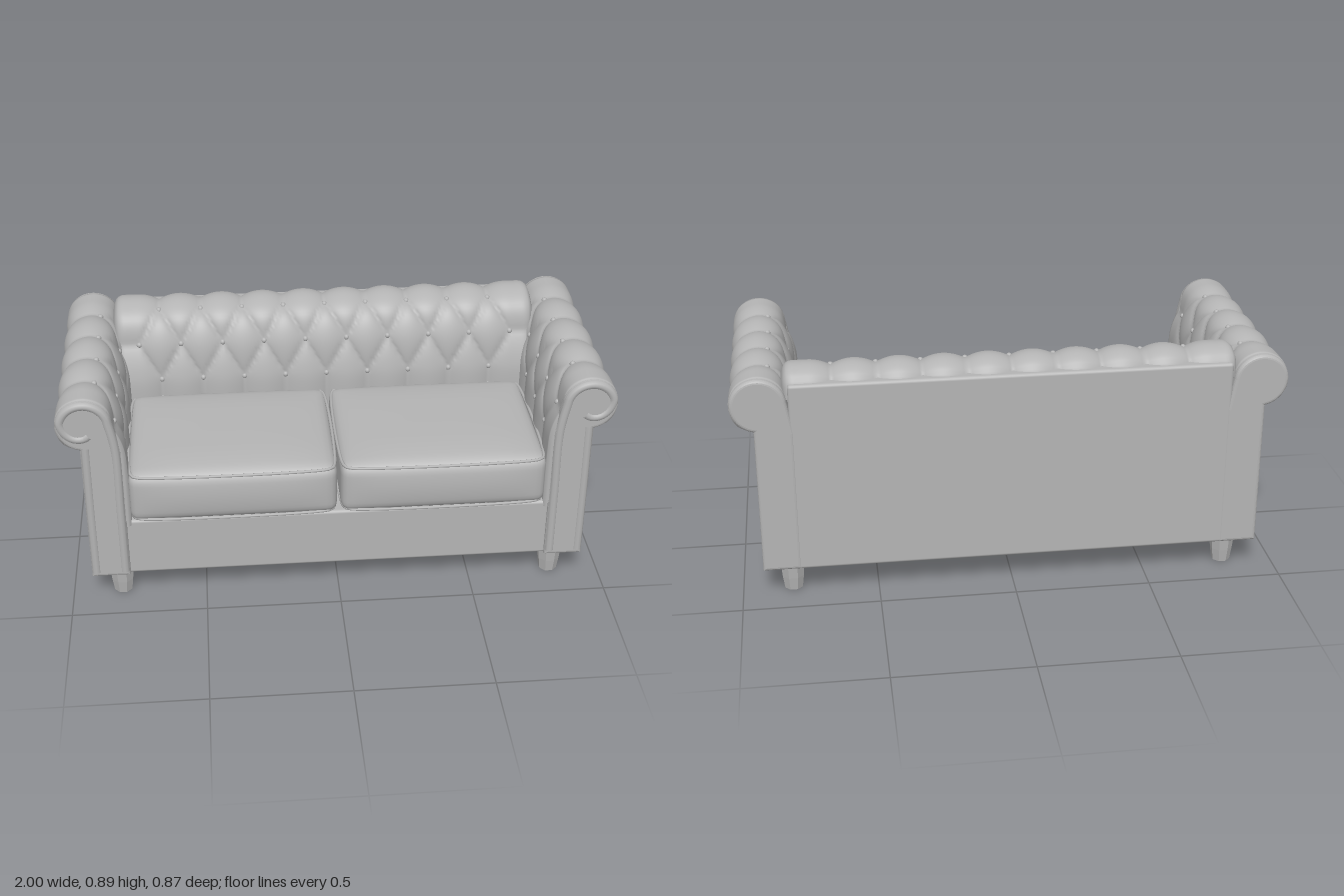
import * as THREE from 'three';
import { mergeVertices } from 'three/addons/utils/BufferGeometryUtils.js';
import { RoundedBoxGeometry } from 'three/addons/geometries/RoundedBoxGeometry.js';

const leather = new THREE.MeshStandardMaterial({ color: 0xb4b4b4 });
leather.name = 'greyLeather';

function part(name, geometry, parent, x = 0, y = 0, z = 0) {
  const mesh = new THREE.Mesh(geometry, leather);
  mesh.name = name;
  mesh.position.set(x, y, z);
  parent.add(mesh);
  return mesh;
}

// Buttoned upholstery: a profile swept along z, puffed between diamond pleats
function tufted(name, o) {
  const group = new THREE.Group();
  group.name = name;
  const curve = new THREE.SplineCurve(o.profile.map(p => new THREE.Vector2(...p)));
  curve.arcLengthDivisions = 600;
  const length = curve.getLength();
  const NS = 64;
  const clamp = THREE.MathUtils.clamp;

  const puff = (s, w) => {
    const v = clamp((s - o.row0) / o.rowGap, 0, 2);
    const a = clamp(w / o.pitch, -o.limit, o.limit) - o.offset;
    const p = Math.sin(Math.PI * (a + v / 2)), q = Math.sin(Math.PI * (a - v / 2));
    return o.height * Math.pow(Math.abs(p * q), 0.4);
  };
  const surface = (s, w) => {
    const t = clamp(s / length, 0, 1);
    const p = curve.getPointAt(t), g = curve.getTangentAt(t);
    const e = clamp((Math.abs(w) - (o.half - o.round)) / o.round, 0, 1);
    const d = puff(s, w) - o.round * (1 - Math.sqrt(1 - e * e));
    return [p.x - g.y * d, p.y + g.x * d, w];
  };

  // Rings along z, with a collapsed ring closing each end
  const pos = [], idx = [];
  const centre = o.centre;
  for (let j = -1; j <= o.steps + 1; j++) {
    const w = o.half * (clamp(j, 0, o.steps) / o.steps * 2 - 1);
    const cap = j < 0 || j > o.steps;
    for (let i = 0; i <= NS; i++) {
      pos.push(...(cap ? [centre[0], centre[1], w] : surface(length * i / NS, w)));
    }
  }
  const R = NS + 1;
  for (let j = 0; j < o.steps + 2; j++) {
    for (let i = 0; i < NS; i++) {
      const A = j * R + i, B = A + R;
      idx.push(A, B, A + 1, B, B + 1, A + 1);
    }
  }
  const geo = new THREE.BufferGeometry();
  geo.setAttribute('position', new THREE.Float32BufferAttribute(pos, 3));
  geo.setIndex(idx);
  geo.computeVertexNormals();
  part('tuftedCover', geo, group);

  // Buttons where the pleats cross
  const ball = new THREE.SphereGeometry(0.011, 10, 8);
  for (let row = 0; row < 3; row++) {
    for (let k = -6; k <= 6; k++) {
      const w = (k + o.offset + (row % 2) / 2) * o.pitch;
      if (Math.abs(w) > o.half - 0.05) continue;
      part('button', ball, group, ...surface(o.row0 + row * o.rowGap, w));
    }
  }
  return group;
}

// Side outline of an arm: upright post topped by a round scroll
function armOutline(inner, radius) {
  const s = new THREE.Shape();
  s.moveTo(0.92, 0.115);
  s.lineTo(inner, 0.115);
  s.lineTo(inner, 0.66);
  s.absarc(0.9, 0.767, radius, Math.PI * 0.97, -1.37, true);
  s.lineTo(0.92, 0.66);
  return s;
}

function slab(shape, z0, z1, bevel) {
  const g = new THREE.ExtrudeGeometry(shape, {
    depth: z1 - z0 - 2 * bevel, curveSegments: 28, bevelEnabled: true,
    bevelSize: bevel, bevelThickness: bevel, bevelOffset: -bevel, bevelSegments: 4,
  });
  return g.translate(0, 0, z0 + bevel);
}

function makeArm(name) {
  const arm = new THREE.Group();
  arm.name = name;
  part('armCore', slab(armOutline(0.79, 0.084), -0.42, 0.42, 0.005), arm);
  part('armFrontPanel', slab(armOutline(0.778, 0.1), 0.385, 0.427, 0.014), arm);
  part('armBackPanel', slab(armOutline(0.778, 0.1), -0.432, -0.39, 0.014), arm);
  arm.add(tufted('armUpholstery', {
    profile: [[0.778, 0.33], [0.778, 0.55], [0.785, 0.68], [0.812, 0.78], [0.842, 0.832], [0.9, 0.853],
      [0.96, 0.828], [0.984, 0.767], [0.965, 0.705], [0.915, 0.682]],
    centre: [0.88, 0.74], half: 0.418, round: 0.012, steps: 88,
    row0: 0.28, rowGap: 0.13, pitch: 0.17, offset: 0.5, limit: 2, height: 0.018,
  }));

  // Padded border running up the post and curling into the scroll
  const z = 0.417, path = [[0.797, 0.135], [0.797, 0.4], [0.798, 0.66]];
  for (let i = 0; i <= 16; i++) {
    const a = Math.PI * (0.97 - i * 0.1), r = i < 10 ? 0.083 : 0.083 - (i - 9) * 0.006;
    path.push([0.9 + r * Math.cos(a), 0.767 + r * Math.sin(a)]);
  }
  const tube = (pts) => new THREE.TubeGeometry(
    new THREE.CatmullRomCurve3(pts.map(p => new THREE.Vector3(p[0], p[1], z))), 90, 0.017, 10);
  part('scrollBorder', tube(path), arm);
  part('outerBorder', tube([[0.902, 0.135], [0.902, 0.4], [0.9, 0.68]]), arm);
  return arm;
}

// Seat cushion: softened box with crowned top and bulging front
function cushionGeometry(w, h, d, r) {
  let g = new THREE.BoxGeometry(w, h, d, 36, 14, 32);
  g.deleteAttribute('uv');
  g.deleteAttribute('normal');
  g = mergeVertices(g);
  const p = g.attributes.position, v = new THREE.Vector3(), c = new THREE.Vector3();
  const box = new THREE.Vector3(w / 2 - r, h / 2 - r, d / 2 - r);
  for (let i = 0; i < p.count; i++) {
    v.fromBufferAttribute(p, i);
    c.copy(v).clamp(box.clone().negate(), box);
    v.sub(c).setLength(r).add(c);
    const x = 2 * v.x / w, y = 2 * v.y / h, k = 2 * v.z / d;
    if (y > 0) v.y += 0.022 * y * (1 - x ** 4) * (1 - k ** 4);
    if (k > 0) v.z += 0.014 * k * (1 - x ** 4) * (1 - y * y);
    p.setXYZ(i, v.x, v.y, v.z);
  }
  g.computeVertexNormals();
  return g;
}

function pipingGeometry(a, b, r) {
  const pts = [];
  for (const [sx, sz, flip] of [[1, 1, 0], [-1, 1, 1], [-1, -1, 0], [1, -1, 1]]) {
    const corner = [[a, b - r], [a - r * 0.3, b - r * 0.3], [a - r, b]];
    if (flip) corner.reverse();
    corner.forEach(([x, z]) => pts.push(new THREE.Vector3(sx * x, 0, sz * z)));
  }
  return new THREE.TubeGeometry(new THREE.CatmullRomCurve3(pts, true), 120, 0.006, 6, true);
}

export function createModel() {
  const sofa = new THREE.Group();
  sofa.name = 'sofa';

  // Frame
  part('seatBase', new RoundedBoxGeometry(1.57, 0.235, 0.82, 3, 0.012), sofa, 0, 0.2325, 0);
  part('backPanel', new RoundedBoxGeometry(1.59, 0.725, 0.05, 3, 0.012), sofa, 0, 0.4775, -0.405);

  // Buttoned backrest
  const back = tufted('backUpholstery', {
    profile: [[0.165, 0.33], [0.165, 0.55], [0.175, 0.64], [0.2, 0.75], [0.235, 0.825], [0.29, 0.857],
      [0.345, 0.862], [0.39, 0.838], [0.402, 0.78]],
    centre: [0.3, 0.74], half: 0.815, round: 0.04, steps: 168,
    row0: 0.28, rowGap: 0.14, pitch: 0.16, offset: 0, limit: 4.5, height: 0.022,
  });
  back.rotation.y = Math.PI / 2;
  sofa.add(back);

  // Arms
  const right = makeArm('rightArm');
  right.scale.x = -1;
  sofa.add(makeArm('leftArm'), right);

  // Cushions with piped edges, and feet
  const cushion = cushionGeometry(0.757, 0.197, 0.59, 0.035);
  const piping = pipingGeometry(0.37, 0.287, 0.035);
  const foot = new THREE.LatheGeometry(
    [[0, 0], [0.035, 0], [0.042, 0.05], [0.048, 0.118], [0, 0.118]].map(p => new THREE.Vector2(...p)), 8);
  foot.rotateY(Math.PI / 8);
  const flatFoot = foot.toNonIndexed();
  flatFoot.computeVertexNormals();
  for (const s of [1, -1]) {
    const side = s > 0 ? 'left' : 'right';
    part(side + 'Cushion', cushion, sofa, s * 0.385, 0.447, 0.126);
    for (const y of [0.537, 0.358]) part(side + 'CushionPiping', piping, sofa, s * 0.385, y, 0.126);
    part(side + 'FrontFoot', flatFoot, sofa, s * 0.815, 0, 0.342);
    part(side + 'BackFoot', flatFoot, sofa, s * 0.815, 0, -0.342);
  }
  return sofa;
}
